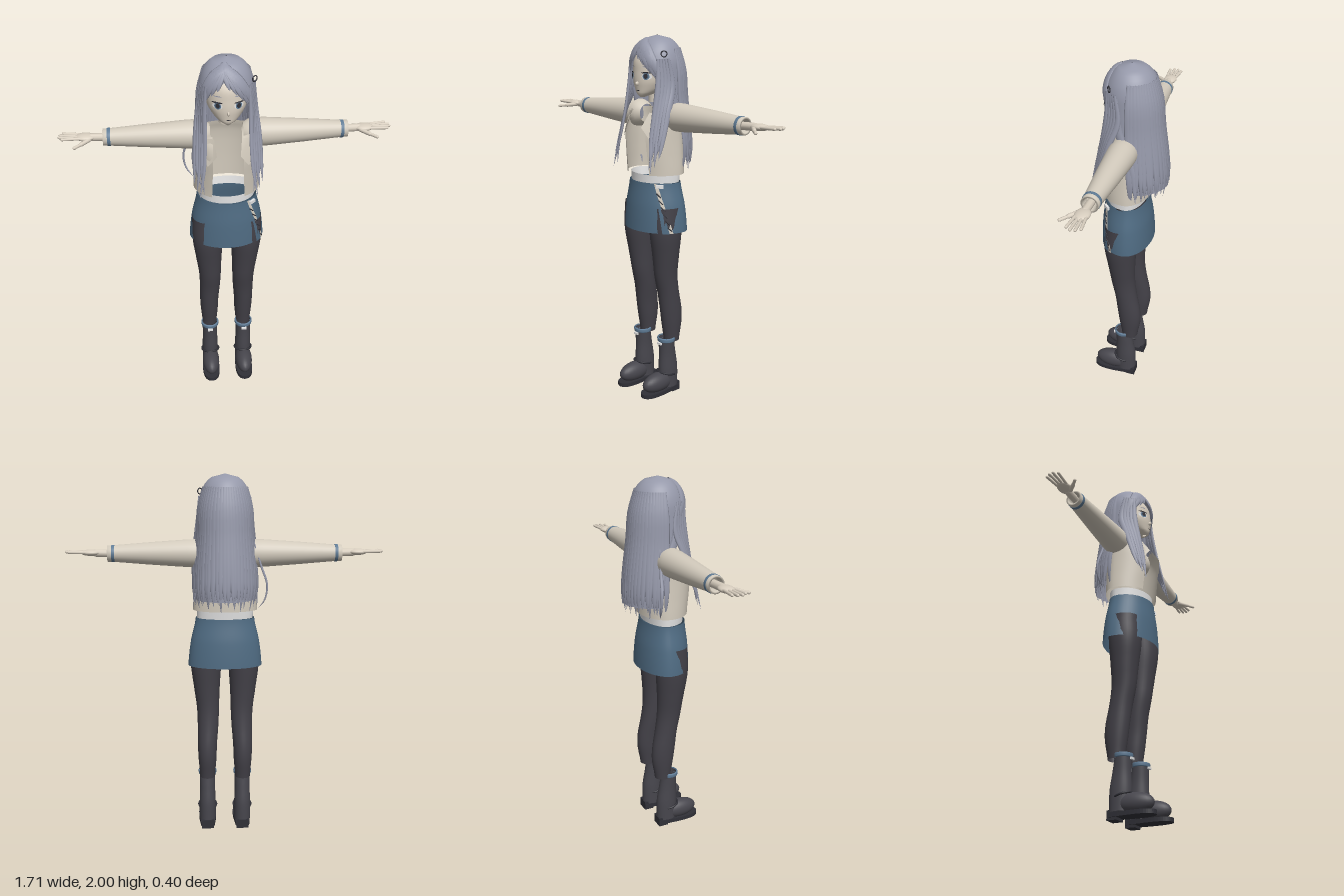
import * as THREE from 'three';

const paint = (name, color, side = THREE.DoubleSide) => {
  const m = new THREE.MeshStandardMaterial({ color, side });
  m.name = name;
  return m;
};
const V = (x, y, z) => new THREE.Vector3(x, y, z);

// Interpolates a table of rows [y, ...values], sorted from top to bottom
function at(table, y) {
  let i = 0;
  while (i < table.length - 2 && y < table[i + 1][0]) i++;
  const u = THREE.MathUtils.clamp((table[i][0] - y) / (table[i][0] - table[i + 1][0]), 0, 1);
  const row = k => table[THREE.MathUtils.clamp(k, 0, table.length - 1)];
  return table[i].map((_, c) => {
    const p = [-1, 0, 1, 2].map(k => row(i + k)[c] ?? 0);
    const m0 = (p[2] - p[0]) / 2, m1 = (p[3] - p[1]) / 2, u2 = u * u, u3 = u2 * u;
    return c === 0 ? y : p[1] * (2 * u3 - 3 * u2 + 1) + m0 * (u3 - 2 * u2 + u) + p[2] * (3 * u2 - 2 * u3) + m1 * (u3 - u2);
  });
}

// Point on a body of sections [y, half width, front depth, back depth, cx, cz]; angle 0 is the front
function onBody(table, y, a, grow = 0) {
  const [, rx, f, b, cx = 0, cz = 0] = at(table, y);
  const c = Math.cos(a);
  return V(cx + (rx + grow) * Math.sin(a), y, cz + ((c > 0 ? f : b) + grow) * c);
}

// Smooth surface through rows of points
function grid(rows, closed) {
  const n = rows[0].length, pos = [], idx = [];
  rows.forEach(r => r.forEach(p => pos.push(p.x, p.y, p.z)));
  for (let i = 0; i < rows.length - 1; i++)
    for (let j = 0; j < (closed ? n : n - 1); j++) {
      const a = i * n + j, b = i * n + (j + 1) % n;
      idx.push(a, a + n, b, b, a + n, b + n);
    }
  const g = new THREE.BufferGeometry();
  g.setAttribute('position', new THREE.Float32BufferAttribute(pos, 3));
  g.setIndex(idx);
  g.computeVertexNormals();
  return g;
}

function loft(table, { n = 32, steps = 24, range = null, grow = 0 } = {}) {
  const top = table[0][0], bottom = table[table.length - 1][0], rows = [];
  for (let i = 0; i <= steps; i++) {
    const y = top + (bottom - top) * i / steps;
    const [a0, a1] = range ? range(y) : [0, Math.PI * 2];
    const count = range ? n + 1 : n;
    rows.push(Array.from({ length: count }, (_, j) => onBody(table, y, a0 + (a1 - a0) * j / n, grow)));
  }
  return grid(rows, !range);
}

// Flat, tapered strand of hair along a path
function strand(points, width, thick, steps = 14) {
  const curve = new THREE.CatmullRomCurve3(points), rows = [];
  for (let i = 0; i <= steps; i++) {
    const u = i / steps, p = curve.getPoint(u), t = curve.getTangent(u);
    const out = V(p.x, Math.max(0, (p.y - 1.84) * 1.2), p.z).normalize();
    const side = t.clone().cross(out).normalize();
    out.copy(side).cross(t).normalize();
    const k = Math.max(0.03, Math.min(1, 0.45 + u * 2) * Math.pow(1 - u * u * u, 0.8));
    rows.push(Array.from({ length: 8 }, (_, j) => {
      const q = j * Math.PI / 4;
      return p.clone().addScaledVector(side, width * k * Math.cos(q)).addScaledVector(out, thick * k * Math.sin(q));
    }));
  }
  return grid(rows, true);
}

// Thin patch draped on the front of a body
function drape(table, outline, lift) {
  const g = new THREE.ShapeGeometry(new THREE.Shape(outline.map(([x, y]) => new THREE.Vector2(x, y))));
  const p = g.attributes.position;
  for (let i = 0; i < p.count; i++) {
    const [, rx, f, , , cz = 0] = at(table, p.getY(i));
    p.setZ(i, cz + f * Math.sqrt(Math.max(0, 1 - (p.getX(i) / rx) ** 2)) + lift);
  }
  g.computeVertexNormals();
  return g;
}
const oval = (cx, cy, rx, ry) => Array.from({ length: 18 }, (_, i) =>
  [cx + rx * Math.cos(i * Math.PI / 9), cy + ry * Math.sin(i * Math.PI / 9)]);

const HAIR = [[1.996, .004, .004, .004], [1.98, .07, .065, .07], [1.95, .103, .097, .105], [1.91, .125, .122, .128],
  [1.86, .138, .138, .142], [1.78, .143, .13, .152], [1.68, .148, .11, .16], [1.55, .163, .1, .178],
  [1.42, .174, .1, .19], [1.34, .17, .1, .194], [1.26, .15, .1, .17]];
const HAIR_EDGE = [[2, 0], [1.92, 0], [1.88, .5], [1.8, 1.02], [1.65, 1.45], [1.5, 1.8], [1.26, 1.9]];
const HEAD = [[1.952, .02, .02, .02, 0, 0], [1.93, .085, .085, .085, 0, 0], [1.87, .113, .115, .11, 0, .01], [1.81, .11, .115, .11, 0, .02],
  [1.76, .098, .108, .1, 0, .03], [1.72, .072, .084, .08, 0, .05], [1.695, .04, .045, .05, 0, .085], [1.68, .008, .012, .012, 0, .105]];
const JACKET = [[1.61, .16, .115, .085], [1.56, .162, .155, .1], [1.5, .163, .176, .107], [1.4, .168, .168, .11], [1.275, .175, .153, .11]];
const SKIRT = [[1.23, .16, .142, .087], [1.1, .188, .155, .108], [.965, .203, .16, .118]];

export function createModel() {
  const model = new THREE.Group();
  const skin = paint('skin', 0xd8cebf), cloth = paint('jacket cream', 0xd2cabc), hair = paint('hair grey', 0x9699aa);
  const blue = paint('skirt blue', 0x4f6b82), trim = paint('trim blue', 0x5f7b95), tights = paint('tights', 0x434148);
  const leather = paint('boot leather', 0x47464d), dark = paint('dark detail', 0x303037), white = paint('white', 0xffffff);
  const add = (name, geo, mat, x = 0, y = 0, z = 0) => {
    const m = new THREE.Mesh(geo, mat);
    m.name = name;
    m.position.set(x, y, z);
    model.add(m);
    return m;
  };
  const limb = (name, a, b, r, mat) => {
    const d = b.clone().sub(a), c = a.clone().add(b).multiplyScalar(.5);
    add(name, new THREE.CapsuleGeometry(r, d.length(), 4, 10), mat, c.x, c.y, c.z)
      .quaternion.setFromUnitVectors(V(0, 1, 0), d.normalize());
  };

  // Head and face
  add('head', loft(HEAD, { steps: 30 }), skin);
  add('neck', new THREE.CylinderGeometry(.036, .04, .1, 20), skin, 0, 1.7, .01);
  const nose = add('nose', new THREE.SphereGeometry(.01, 12, 8), skin, 0, 1.752, .138);
  nose.scale.set(.7, 1.1, 1.6);
  add('mouth', drape(HEAD, oval(0, 1.716, .012, .002), .003), dark);
  for (const s of [1, -1]) {
    add('eyeWhite', drape(HEAD, oval(s * .053, 1.79, .024, .017), .003), white);
    add('iris', drape(HEAD, oval(s * .052, 1.79, .016, .018), .005), trim);
    add('pupil', drape(HEAD, oval(s * .052, 1.791, .01, .013), .007), dark);
    add('eyelash', drape(HEAD, oval(s * .055, 1.808, .027, .004), .007), dark);
    add('eyebrow', drape(HEAD, oval(s * .052, 1.838, .02, .0025), .004), hair);
  }

  // Hair: shell, back strands, fringe and long front strands
  let seed = 7;
  const rand = () => (seed = (seed * 16807) % 2147483647) / 2147483647;
  const shell = HAIR.slice(0, -1);
  add('hairShell', loft(shell, {
    n: 56, steps: 40,
    range: y => { const e = Math.max(0, at(HAIR_EDGE, y)[1]); return [e, Math.PI * 2 - e]; },
  }), hair);
  for (let i = 0; i < 26; i++) {
    const a = 1.72 + (Math.PI * 2 - 3.44) * i / 25, end = 1.275 + rand() * .06, sway = (rand() - .5) * .12;
    const path = [1.93, 1.82, 1.68, 1.52, 1.4, end].map((y, k) => onBody(HAIR, y, a + sway * k / 5, .003));
    add('backStrand', strand(path, .022, .008), hair);
  }
  for (const a of [-1.3, -1.08, -.85, -.6, -.38, .05, .3, .55, .8, 1.05, 1.3]) {
    const end = 1.885 - .13 * Math.pow(Math.abs(a + .12), 1.4);
    const path = [0, .25, .5, .75, 1].map(u =>
      onBody(HAIR, 1.982 + (end - 1.982) * Math.pow(u, 1.25), -.22 + (a + .22) * Math.pow(u, .7), .004));
    add('fringe', strand(path, .027, .008), hair);
  }
  for (const s of [1, -1]) {
    for (let k = 0; k < 5; k++) {
      const d = k * .012;
      add('frontStrand', strand([V(s * (.108 + d * .6), 1.88, .095 - d), V(s * (.116 + d * .7), 1.74, .1 - d * 1.5),
        V(s * (.118 + d), 1.6, .125 - d), V(s * (.125 + d), 1.45, .158 - d * .7),
        V(s * (.15 + d * .5 - (k % 2) * .03), 1.3 + k * .018, .185 - d * .7)], .017, .009, 20), hair);
    }
    add('sideStrand', strand([V(s * .13, 1.86, .04), V(s * .145, 1.7, .03), V(s * .165, 1.5, -.05), V(s * .17, 1.3, -.07)], .024, .01), hair);
  }
  add('hairFlick', strand([V(-.15, 1.65, -.06), V(-.19, 1.52, -.07), V(-.222, 1.42, -.08), V(-.21, 1.34, -.08), V(-.175, 1.29, -.07)], .009, .006, 20), hair);
  add('hairRing', new THREE.TorusGeometry(.015, .003, 8, 20), dark, .133, 1.905, .075).rotation.y = .7;

  // Open cropped jacket with lapels
  add('jacketBody', loft(JACKET, { n: 48, range: () => [.5, Math.PI * 2 - .5] }), cloth);
  add('waistBand', loft([[1.275, .155, .132, .085], [1.23, .152, .13, .08]], { steps: 2 }), white);
  for (const s of [1, -1]) {
    const lapel = [[.07, 1.605], [.115, 1.6], [.132, 1.5], [.105, 1.465], [.06, 1.53]].map(([x, y]) => [x * s, y]);
    add('lapel', drape(JACKET, lapel, .012), cloth);

    // Sleeve, laid along x
    const tube = (name, pts, mat) => {
      const g = new THREE.LatheGeometry(pts.map(([x, r]) => new THREE.Vector2(r, x)), 32);
      add(name, g, mat, 0, 1.58, 0).rotation.z = -s * Math.PI / 2;
    };
    tube('sleeve', [[.085, .05], [.11, .067], [.14, .075], [.2, .074], [.3, .067], [.4, .06], [.5, .052], [.6, .044], [.628, .044], [.628, .034], [.58, .032]], cloth);
    tube('sleeveStripe', [[.59, .044], [.59, .0465], [.606, .0465], [.606, .044]], trim);

    // Hand
    limb('wrist', V(s * .58, 1.58, 0), V(s * .69, 1.583, 0), .02, skin);
    const palm = add('palm', new THREE.SphereGeometry(1, 20, 14), skin, s * .718, 1.585, 0);
    palm.scale.set(.052, .017, .037);
    [[.838, -.036], [.852, -.014], [.855, .009], [.84, .032]].forEach(([x, z], i) =>
      limb('finger', V(s * .735, 1.587, -.024 + i * .016), V(s * (x - .008), 1.59, z), .0075, skin));
    limb('thumb', V(s * .695, 1.58, .022), V(s * .735, 1.574, .06), .011, skin);
    limb('thumbTip', V(s * .735, 1.574, .06), V(s * .768, 1.57, .09), .008, skin);
  }

  // Skirt with a laced slit on its left
  add('skirt', loft(SKIRT, { n: 48 }), blue);
  const slit = y => .68 + (1.23 - y) * 1.6;
  add('slitPanel', loft(SKIRT, { n: 4, range: y => [slit(y) - .02, slit(y) + .1], grow: .004 }), cloth);
  add('skirtFlap', loft(SKIRT, { n: 4, range: y => [slit(y) - .03 - Math.max(0, 1.2 - y) * .9, slit(y) - .02], grow: .006 }), blue);
  for (let i = 0; i < 6; i++) {
    const y = 1.18 - i * .036;
    limb('slitLace', onBody(SKIRT, y, slit(y) - .02, .006), onBody(SKIRT, y - .02, slit(y) + .1, .006), .003, dark);
  }
  add('skirtBuckle', new THREE.BoxGeometry(.04, .018, .012), white, .13, 1.218, .1).rotation.y = .8;

  // Legs and boots
  for (const s of [1, -1]) {
    const body = rows => rows.map(([y, rx, f, b, cx, cz]) => [y, rx, f, b, cx * s, cz]);
    add('leg', loft(body([[1.1, .088, .09, .09, .1, .03], [.96, .085, .09, .09, .105, .035], [.8, .07, .075, .073, .1, .028],
      [.7, .062, .067, .067, .095, .022], [.6, .058, .062, .064, .096, .006], [.5, .054, .065, .067, .1, -.01],
      [.42, .051, .06, .064, .1, -.016], [.31, .042, .045, .045, .1, -.017]])), tights);
    add('bootShaft', loft(body([[.33, .045, .045, .043, .1, .022], [.24, .043, .05, .05, .1, .015],
      [.15, .046, .06, .058, .1, .008], [.04, .046, .06, .056, .1, .005]])), leather);
    add('bootCuff', loft(body([[.337, .044, .044, .042, .1, .022], [.335, .051, .051, .048, .1, .022],
      [.315, .05, .05, .047, .1, .022], [.313, .044, .044, .042, .1, .022]]), { steps: 12 }), trim);
    add('bootBuckle', new THREE.BoxGeometry(.03, .012, .01), white, s * .1, .307, .074);
    const foot = add('bootToe', new THREE.SphereGeometry(1, 28, 18), leather, s * .1, .077, .085);
    foot.scale.set(.05, .056, .108);
    add('bootStrap', new THREE.TorusGeometry(.05, .006, 8, 28), dark, s * .1, .12, .025).rotation.x = Math.PI / 2 - .25;

    // Sole outline drawn flat, then laid down
    const outline = new THREE.Shape();
    outline.moveTo(-.038, .05);
    outline.bezierCurveTo(-.06, -.12, -.055, -.2, 0, -.203);
    outline.bezierCurveTo(.055, -.2, .06, -.12, .038, .05);
    outline.closePath();
    const sole = new THREE.ExtrudeGeometry(outline, { depth: .022, bevelEnabled: false, curveSegments: 16 });
    sole.rotateX(-Math.PI / 2);
    // z runs forward after the outline is laid down
    add('sole', sole, dark, s * .1, .014, 0);
    add('heel', new THREE.BoxGeometry(.07, .05, .055), dark, s * .1, .025, -.025);
  }
  return model;
}
